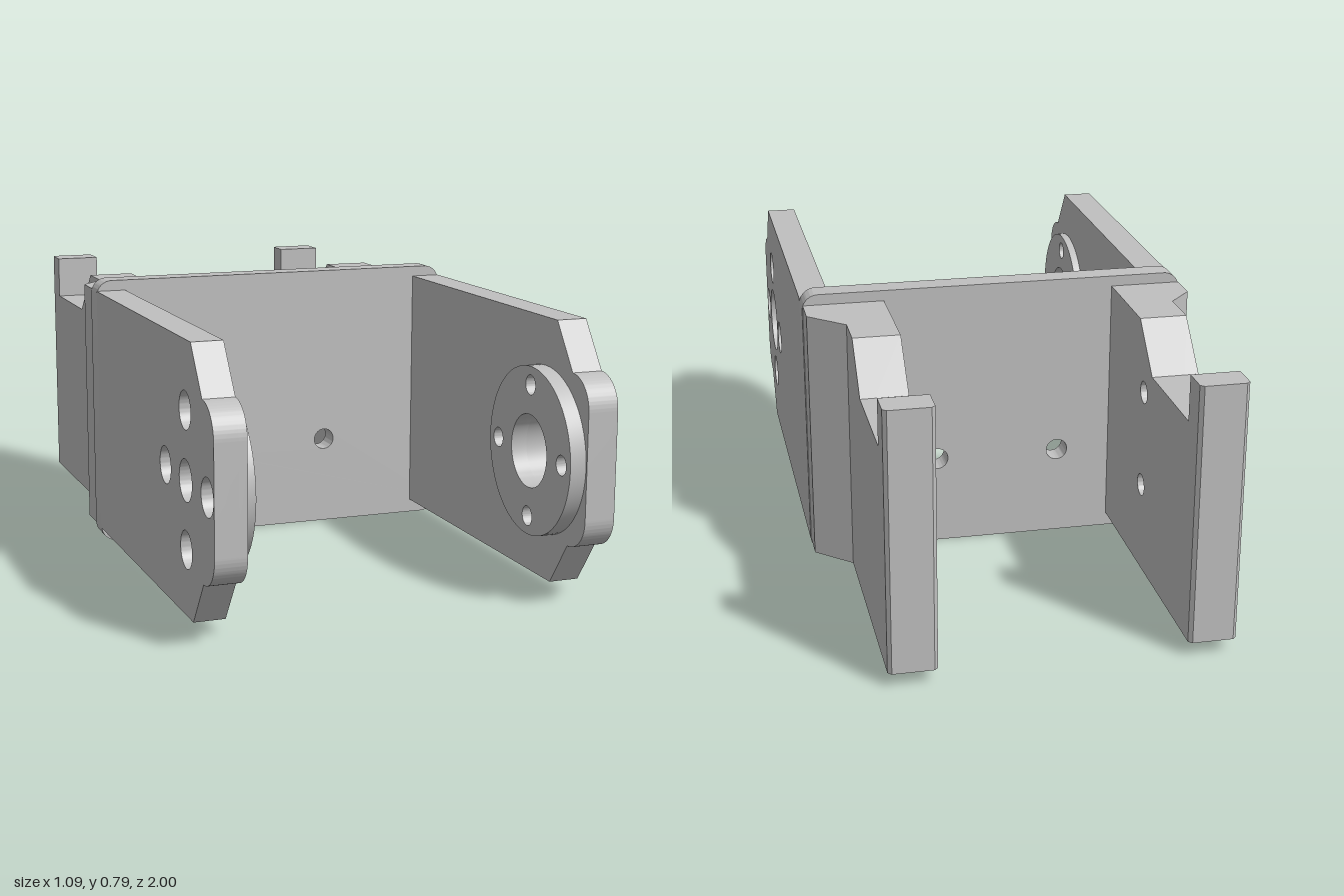
import * as THREE from 'three';
import { toCreasedNormals } from 'three/addons/utils/BufferGeometryUtils.js';

const PIVOT = [0.765, 0.395];           // z, y of the pivot axis
const BOTTOM = 0.04, TOP = 0.755;       // height range of the arms
const PLATE_BACK = -0.183, PLATE_FRONT = -0.115;

export function createModel() {
  const root = new THREE.Group();
  root.name = 'bracket';
  const metal = new THREE.MeshStandardMaterial({ color: 0xc0c0c0 });
  metal.name = 'grey metal';

  const add = (name, geometry, parent = root) => {
    const mesh = new THREE.Mesh(toCreasedNormals(geometry, 0.5), metal);
    mesh.name = name;
    parent.add(mesh);
  };
  const extrude = (shape, depth) =>
    new THREE.ExtrudeGeometry(shape, { depth, bevelEnabled: false, curveSegments: 32 });
  // side outline in (z, y), thickness between two x values
  const slab = (shape, xa, xb) =>
    extrude(shape, Math.abs(xb - xa)).rotateY(-Math.PI / 2).translate(Math.max(xa, xb), 0, 0);
  // plan outline in (x, z), thickness between two heights
  const column = (points, y0, y1) =>
    extrude(polygon(points.map(([x, z]) => [x, -z])), y1 - y0).rotateX(-Math.PI / 2).translate(0, y0, 0);
  const polygon = (points) => new THREE.Shape(points.map(([x, y]) => new THREE.Vector2(x, y)));
  const hole = (shape, x, y, r) =>
    shape.holes.push(new THREE.Path().absarc(x, y, r, 0, Math.PI * 2, true));
  const pivotHoles = (shape, centreR, screwR) => {
    const [z, y] = PIVOT;
    hole(shape, z, y, centreR);
    for (const [dz, dy] of [[1, 0], [-1, 0], [0, 1], [0, -1]])
      hole(shape, z + dz * 0.18, y + dy * 0.18, screwR);
    return shape;
  };

  // Cross plate with rounded corners and two holes
  const w = 0.545, h = 0.785, r = 0.045;
  const plate = new THREE.Shape();
  plate.absarc(w - r, r, r, -Math.PI / 2, 0);
  plate.absarc(w - r, h - r, r, 0, Math.PI / 2);
  plate.absarc(-w + r, h - r, r, Math.PI / 2, Math.PI);
  plate.absarc(-w + r, r, r, Math.PI, Math.PI * 1.5);
  hole(plate, -0.19, 0.26, 0.031);
  hole(plate, 0.167, 0.26, 0.031);
  add('crossPlate', extrude(plate, PLATE_FRONT - PLATE_BACK).translate(0, 0, PLATE_BACK));

  // Front arm outline with chamfers and a rounded nose
  const armShape = () => {
    const s = new THREE.Shape();
    s.moveTo(PLATE_FRONT, BOTTOM);
    s.lineTo(0.82, BOTTOM);
    s.lineTo(0.91, 0.165);
    s.absarc(0.91, 0.255, 0.09, -Math.PI / 2, 0);
    s.absarc(0.91, 0.54, 0.09, 0, Math.PI / 2);
    s.lineTo(0.82, TOP);
    s.lineTo(PLATE_FRONT, TOP);
    return s;
  };
  const discShape = () => new THREE.Shape().absarc(PIVOT[0], PIVOT[1], 0.23, 0, Math.PI * 2);

  // Per side: arm layers as [inner x, outer x, centre hole], boss face, rear arm widths
  const sides = [
    { name: 'left', s: 1, layers: [[0.46, 0.545, 0.1]], bossX: 0.415, bossR: 0.1,
      inner: 0.315, outer: 0.445, bendEnd: -0.365 },
    { name: 'right', s: -1, layers: [[0.46, 0.482, 0.115], [0.482, 0.545, 0.055]], bossX: 0.437, bossR: 0.115,
      inner: 0.345, outer: 0.475, bendEnd: -0.35 },
  ];
  for (const { name, s, layers, bossX, bossR, inner, outer, bendEnd } of sides) {
    const front = new THREE.Group();
    front.name = name + 'FrontArm';
    const rear = new THREE.Group();
    rear.name = name + 'RearArm';
    root.add(front, rear);

    // Front arm and the raised pivot boss on its inner face
    for (const [x0, x1, centreR] of layers)
      add('armLayer', slab(pivotHoles(armShape(), centreR, 0.05), s * x0, s * x1), front);
    add('pivotBoss', slab(pivotHoles(discShape(), bossR, 0.027), s * bossX, s * 0.46), front);

    // Rear arm root, tapering inward from the plate edge
    const side = (points) => points.map(([x, z]) => [s * x, z]);
    add('armRoot', column(side([
      [inner, PLATE_BACK], [0.543, PLATE_BACK], [0.543, -0.275], [outer, bendEnd], [inner, bendEnd],
    ]), BOTTOM, TOP), rear);

    // Rear arm web with a stepped top and two blind holes on the inner face
    const web = () => polygon([
      [bendEnd, BOTTOM], [bendEnd, TOP], [-0.475, TOP], [-0.6, 0.63], [-0.915, 0.63], [-0.915, BOTTOM],
    ]);
    const drilled = web();
    hole(drilled, -0.53, 0.285, 0.031);
    hole(drilled, -0.53, 0.56, 0.031);
    const floor = inner + 0.09;
    add('drilledWeb', slab(drilled, s * inner, s * floor), rear);
    add('outerWeb', slab(web(), s * floor, s * outer), rear);

    // Upright end post with small edge chamfers
    const c = 0.01;
    add('endPost', column(side([
      [inner, -0.915], [outer, -0.915], [outer, -1 + c], [outer - c, -1], [inner + c, -1], [inner, -1 + c],
    ]), BOTTOM, TOP), rear);
  }
  return root;
}
